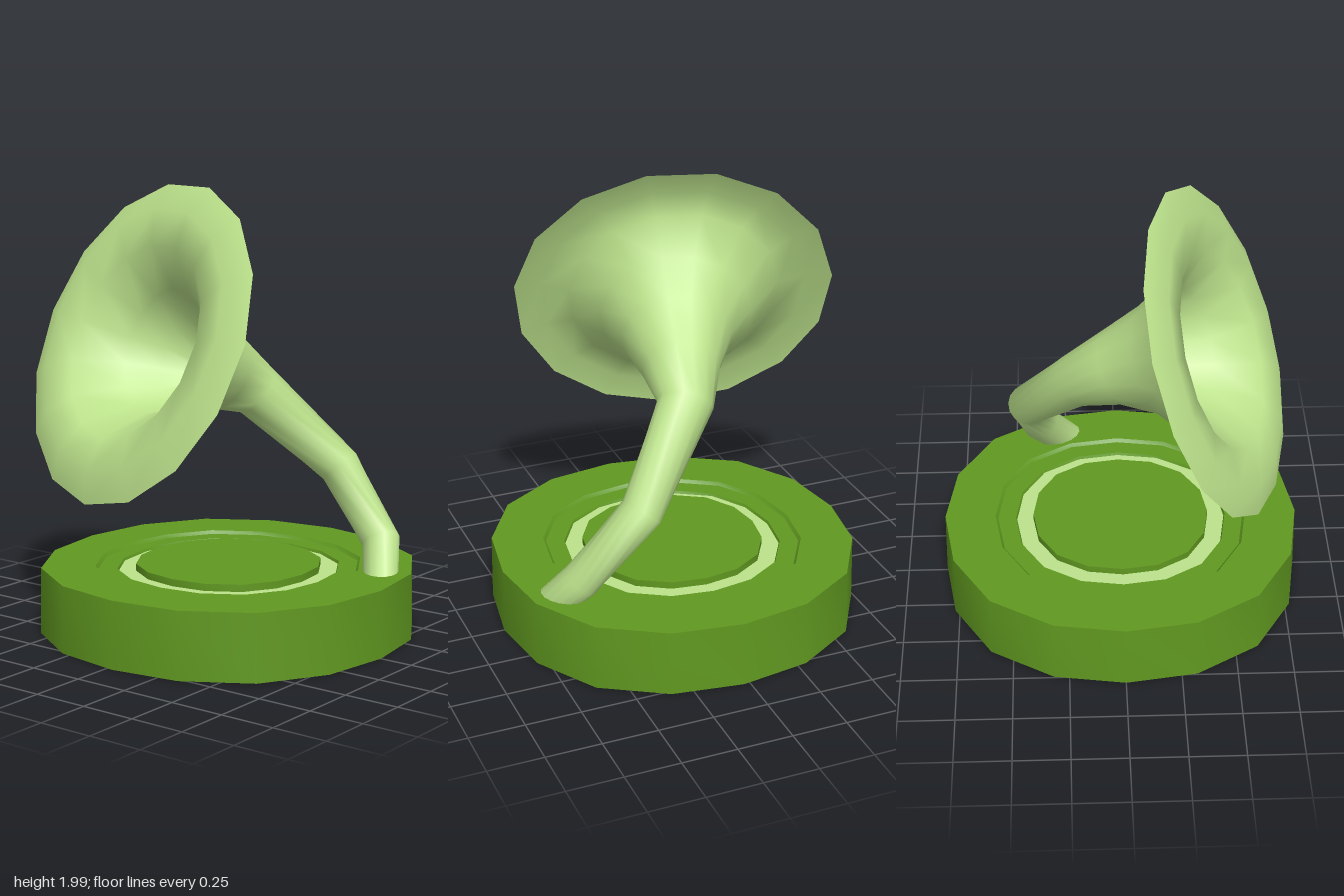
import * as THREE from 'three';
import { toCreasedNormals } from 'three/addons/utils/BufferGeometryUtils.js';

const SIDES = 15;
const PHASE = -96 * Math.PI / 180;
const BELL_AXIS = new THREE.Vector3(-0.257, 0.386, 0.886);

// Skin a row of rings [x, y, z, radius]; the last three face along the bell axis.
function loft(rings, inward) {
  const centres = rings.map(r => new THREE.Vector3(r[0], r[1], r[2]));
  const last = rings.length - 1;
  const positions = [], index = [];
  rings.forEach((ring, i) => {
    const n = new THREE.Vector3();
    if (i >= last - 2) {
      n.copy(BELL_AXIS);
    } else {
      if (i > 0) n.add(centres[i].clone().sub(centres[i - 1]).normalize());
      n.add(centres[i + 1].clone().sub(centres[i]).normalize());
    }
    n.normalize();
    const u = new THREE.Vector3(1, 0, 0).addScaledVector(n, -n.x).normalize();
    const v = n.clone().cross(u);
    for (let k = 0; k < SIDES; k++) {
      const a = PHASE + k / SIDES * Math.PI * 2;
      const p = centres[i].clone()
        .addScaledVector(u, Math.cos(a) * ring[3])
        .addScaledVector(v, Math.sin(a) * ring[3]);
      positions.push(p.x, p.y, p.z);
    }
  });
  for (let i = 0; i < last; i++) {
    for (let k = 0; k < SIDES; k++) {
      const a = i * SIDES + k, b = i * SIDES + (k + 1) % SIDES;
      const c = a + SIDES, d = b + SIDES;
      if (inward) index.push(a, c, b, b, c, d);
      else index.push(a, b, c, b, d, c);
    }
  }
  const g = new THREE.BufferGeometry();
  g.setAttribute('position', new THREE.Float32BufferAttribute(positions, 3));
  g.setIndex(index);
  g.computeVertexNormals();
  return g;
}

// Turned part, slightly fuller on the diagonals, with smooth sides and crisp corners.
function turned(profile) {
  const pts = profile.map(p => new THREE.Vector2(p[0], p[1]));
  const g = new THREE.LatheGeometry(pts, 16);
  const pos = g.attributes.position;
  for (let i = 0; i < pos.count; i++) {
    const x = pos.getX(i), z = pos.getZ(i);
    const f = 1 + 0.036 * Math.sin(2 * Math.atan2(z, x)) ** 2;
    pos.setX(i, x * f);
    pos.setZ(i, z * f);
  }
  return toCreasedNormals(g, 0.6);
}

export function createModel() {
  const model = new THREE.Group();
  const darkGreen = new THREE.MeshStandardMaterial({ color: 0x609820 });
  darkGreen.name = 'dark green';
  const lightGreen = new THREE.MeshStandardMaterial({ color: 0xbde38c });
  lightGreen.name = 'light green';

  const add = (name, geometry, material, parent) => {
    const mesh = new THREE.Mesh(geometry, material);
    mesh.name = name;
    parent.add(mesh);
    return mesh;
  };

  // Round base with a stepped recess, a pale ring and a raised centre disc
  const base = new THREE.Group();
  base.name = 'base';
  base.position.x = 0.027;
  model.add(base);
  add('baseBody', turned([[0, 0.005], [0.82, 0.005], [0.815, 0.305], [0.582, 0.305],
    [0.57, 0.29], [0.487, 0.29], [0.482, 0.278]]), darkGreen, base);
  add('paleRing', turned([[0.482, 0.278], [0.405, 0.278]]), lightGreen, base);
  add('centreDisc', turned([[0.405, 0.278], [0.405, 0.31], [0, 0.31]]), darkGreen, base);

  // Horn: bent neck opening into a bell with a rounded flange
  const horn = new THREE.Group();
  horn.name = 'horn';
  model.add(horn);
  add('hornOutside', loft([
    [0.697, 0.23, -0.22, 0.077],
    [0.60, 0.415, -0.37, 0.086],
    [0.34, 0.715, -0.42, 0.095],
    [0.04, 1.067, -0.187, 0.124],
    [-0.01, 1.165, -0.02, 0.175],
    [-0.06, 1.24, 0.15, 0.25],
    [-0.105, 1.287, 0.27, 0.345],
    [-0.155, 1.335, 0.415, 0.485],
    [-0.16, 1.343, 0.433, 0.61],
    [-0.153, 1.335, 0.415, 0.733],
  ], false), lightGreen, horn);
  // Bell lining, with a lip that stands just ahead of the rim
  add('hornInside', loft([
    [-0.025, 1.165, -0.01, 0.095],
    [-0.06, 1.24, 0.15, 0.23],
    [-0.115, 1.288, 0.29, 0.285],
    [-0.159, 1.345, 0.437, 0.44],
    [-0.167, 1.354, 0.458, 0.6],
    [-0.153, 1.335, 0.415, 0.733],
  ], true), lightGreen, horn);
  // Round plug at the bottom of the throat
  const plug = add('throatPlug', new THREE.CircleGeometry(0.1, SIDES), lightGreen, horn);
  plug.position.set(-0.025, 1.165, -0.01);
  plug.quaternion.setFromUnitVectors(new THREE.Vector3(0, 0, 1),
    new THREE.Vector3(-0.2, 0.42, 0.89).normalize());

  return model;
}
